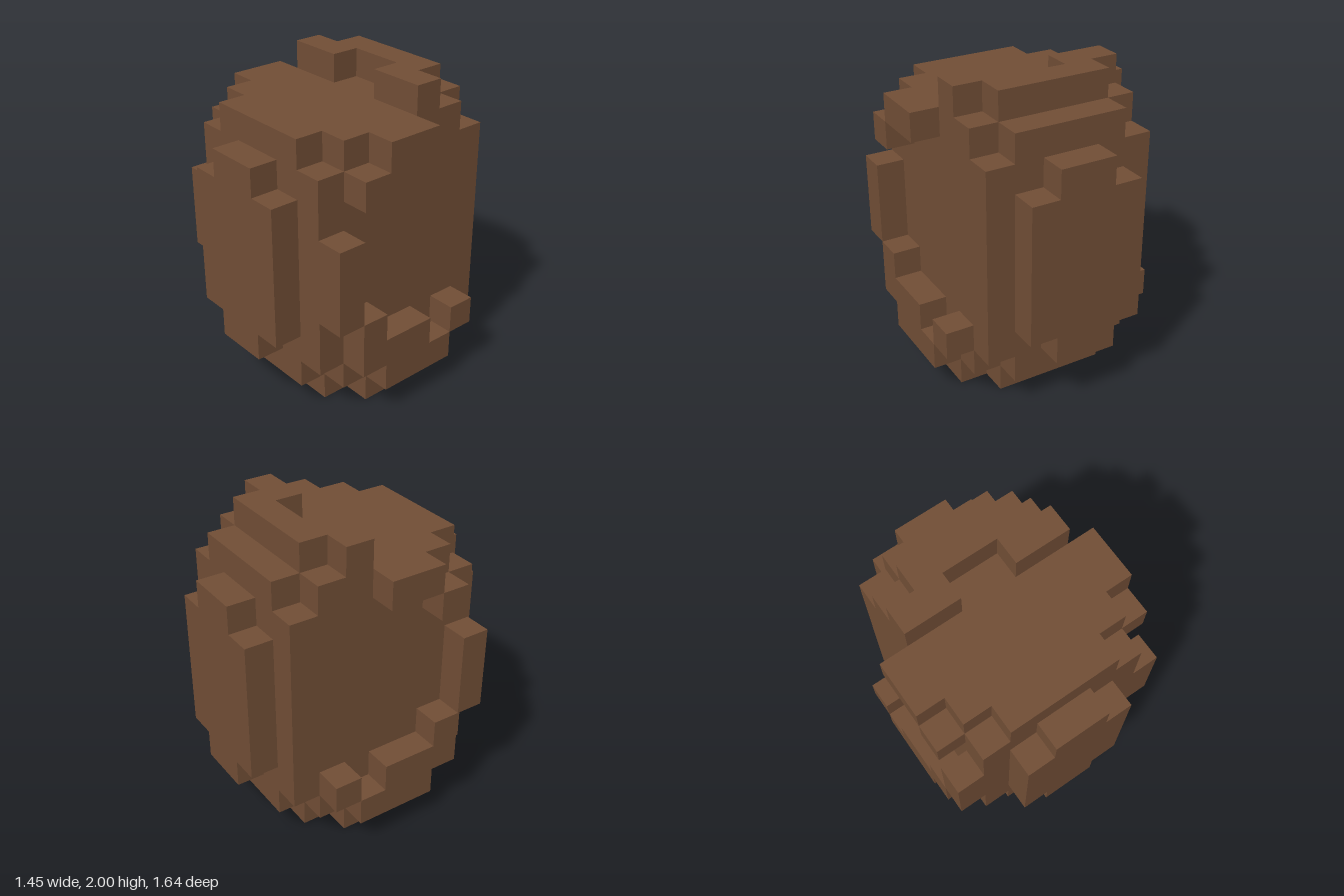
import * as THREE from 'three';

const U = 2 / 11; // one block of the grid

export function createModel() {
  const model = new THREE.Group();
  model.name = 'blockShell';

  const brown = new THREE.MeshStandardMaterial({ color: 0x704d35 });
  brown.name = 'brown';

  // Box between two grid corners, in block units
  function block(name, [x0, x1], [y0, y1], [z0, z1]) {
    const geo = new THREE.BoxGeometry((x1 - x0) * U, (y1 - y0) * U, (z1 - z0) * U);
    const mesh = new THREE.Mesh(geo, brown);
    mesh.position.set((x0 + x1) / 2 * U, (y0 + y1) / 2 * U, (z0 + z1) / 2 * U);
    mesh.name = name;
    model.add(mesh);
  }

  // The same box on the left and right sides
  function pair(name, [x0, x1], y, z) {
    block(name + 'Left', [x0, x1], y, z);
    block(name + 'Right', [-x1, -x0], y, z);
  }

  // Main body
  block('body', [-3, 3], [2, 9], [-3.5, 3.5]);

  // Stepped base
  block('lowerStep', [-3, 3], [1, 2], [-2.5, 2.5]);
  block('foot', [-3, 3], [0, 1], [-1.5, 1.5]);

  // Stepped top
  block('upperStep', [-3, 3], [9, 10], [-2.5, 2.5]);

  // Front and back: panel with a taller middle, rims and foot ends
  for (const [side, s] of [['front', 1], ['back', -1]]) {
    const span = (a, b) => (s > 0 ? [a, b] : [-b, -a]);
    block(side + 'Panel', [-2, 2], [3, 8], span(3.5, 4.5));
    block(side + 'PanelTop', [-1, 1], [8, 9], span(3.5, 4.5));
    block(side + 'PanelBottom', [-1, 1], [2, 3], span(3.5, 4.5));
    block(side + 'LowerRim', [-2, 2], [1, 2], span(2.5, 3.5));
    block(side + 'UpperRim', [-2, 2], [9, 10], span(2.5, 3.5));
    block(side + 'FootEnd', [-2, 2], [0, 1], span(1.5, 2.5));
  }

  // Crest on top with two forward prongs
  block('crest', [-2, 2], [10, 11], [-2.5, -1.5]);
  pair('crestProng', [1, 3], [10, 11], [-1.5, -0.5]);

  // Upper side trim
  pair('upperTrim', [3, 4], [9, 10], [-0.5, 1.5]);
  pair('upperTrimTip', [3, 4], [8, 9], [1.5, 2.5]);

  // Front corner posts
  pair('cornerPost', [3, 4], [4, 7], [2.5, 3.5]);

  // Lower side trim, stepping down towards the back
  pair('lowerTrimFront', [3, 4], [2, 4], [1.5, 2.5]);
  pair('lowerTrimMiddle', [3, 4], [2, 3], [-0.5, 1.5]);
  pair('lowerTrimBase', [3, 4], [1, 2], [-1.5, 1.5]);
  pair('lowerTrimBack', [3, 4], [2, 3], [-2.5, -1.5]);

  return model;
}
